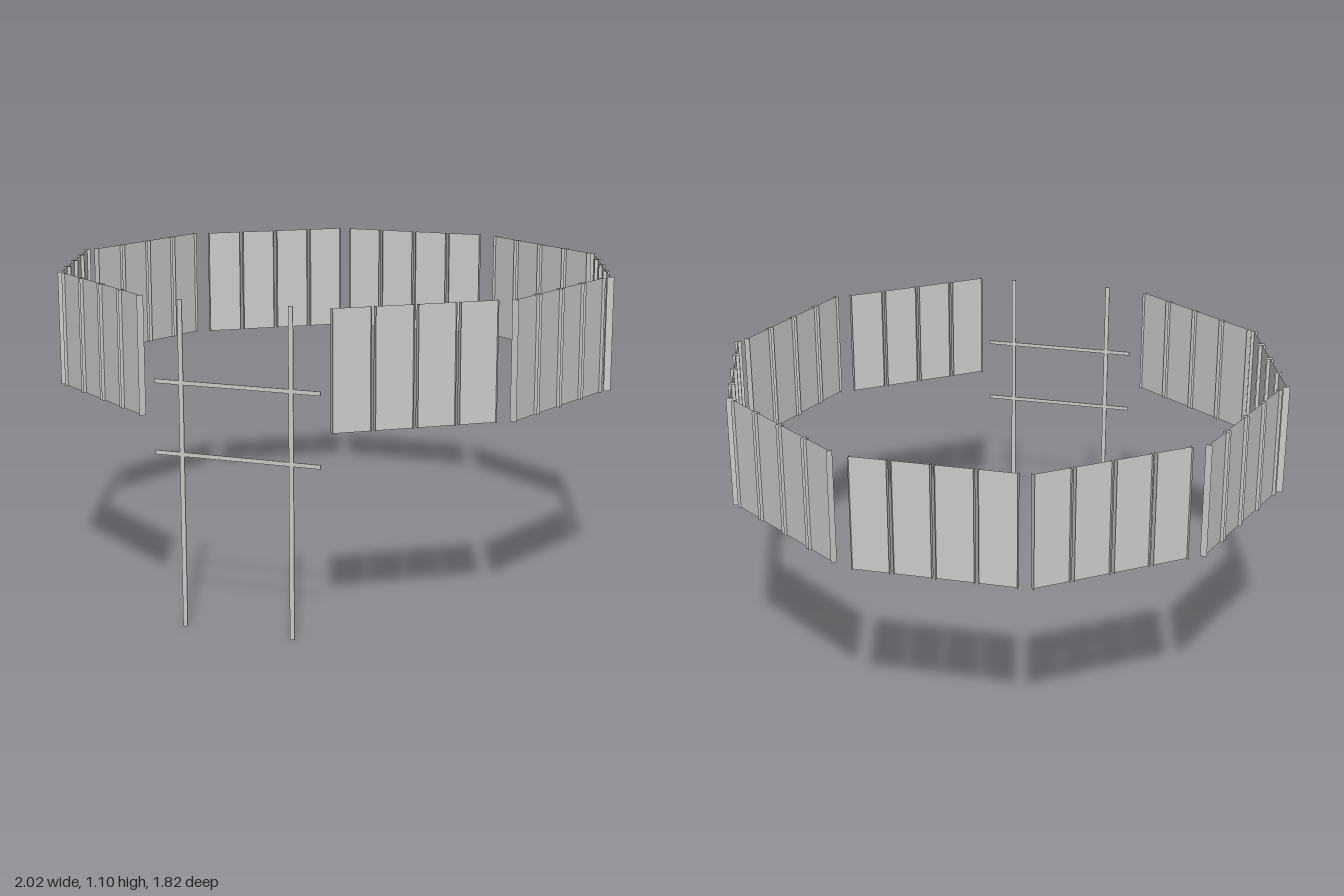
import * as THREE from 'three';

const material = new THREE.MeshStandardMaterial({ color: 0xcccccc, side: THREE.DoubleSide, flatShading: true });

const PANEL_WIDTH = 0.127, PITCH = 0.141, HEIGHT = 0.4, MID_Y = 0.9, RETURN_DEPTH = 0.024;

function addMesh(parent, name, geometry, x, y, z) {
  const mesh = new THREE.Mesh(geometry, material);
  mesh.name = name;
  mesh.position.set(x, y, z);
  parent.add(mesh);
  return mesh;
}

// One straight bay: four flat panels with narrow returns along their upright edges
function createBay(degrees, x, z) {
  const bay = new THREE.Group();
  bay.name = 'panelBay';
  const face = new THREE.PlaneGeometry(PANEL_WIDTH, HEIGHT);
  const edge = new THREE.PlaneGeometry(RETURN_DEPTH, HEIGHT).rotateY(Math.PI / 2);
  for (let i = 0; i < 4; i++) {
    const u = (i - 1.5) * PITCH;
    addMesh(bay, 'panel', face, u, 0, 0);
    for (const side of [-1, 1]) addMesh(bay, 'panelEdge', edge, u + side * PANEL_WIDTH / 2, 0, 0);
  }
  bay.position.set(x, MID_Y, z);
  bay.rotation.y = THREE.MathUtils.degToRad(degrees);
  return bay;
}

// Open frame in the gap at the front: two posts and two rails
function createFrame() {
  const frame = new THREE.Group();
  frame.name = 'entranceFrame';
  const post = new THREE.BoxGeometry(0.016, 1.1, 0.004);
  const rail = new THREE.BoxGeometry(0.575, 0.014, 0.004);
  for (const x of [-0.205, 0.175]) addMesh(frame, 'post', post, x, 0.55, 0.905);
  for (const y of [0.59, 0.828]) addMesh(frame, 'rail', rail, -0.0125, y, 0.905);
  return frame;
}

export function createModel() {
  const model = new THREE.Group();
  model.name = 'panelRing';

  // Four bays down one side, repeated by a half turn on the other
  const bays = [
    [36, 0.531, 0.735],
    [72, 0.89, 0.285],
    [108, 0.912, -0.272],
    [144, 0.583, -0.71],
  ];
  for (const [angle, x, z] of bays) {
    model.add(createBay(angle, x, z));
    model.add(createBay(angle + 180, -x, -z));
  }
  // Back bay
  model.add(createBay(180, 0.0125, -0.9));
  model.add(createFrame());
  return model;
}
